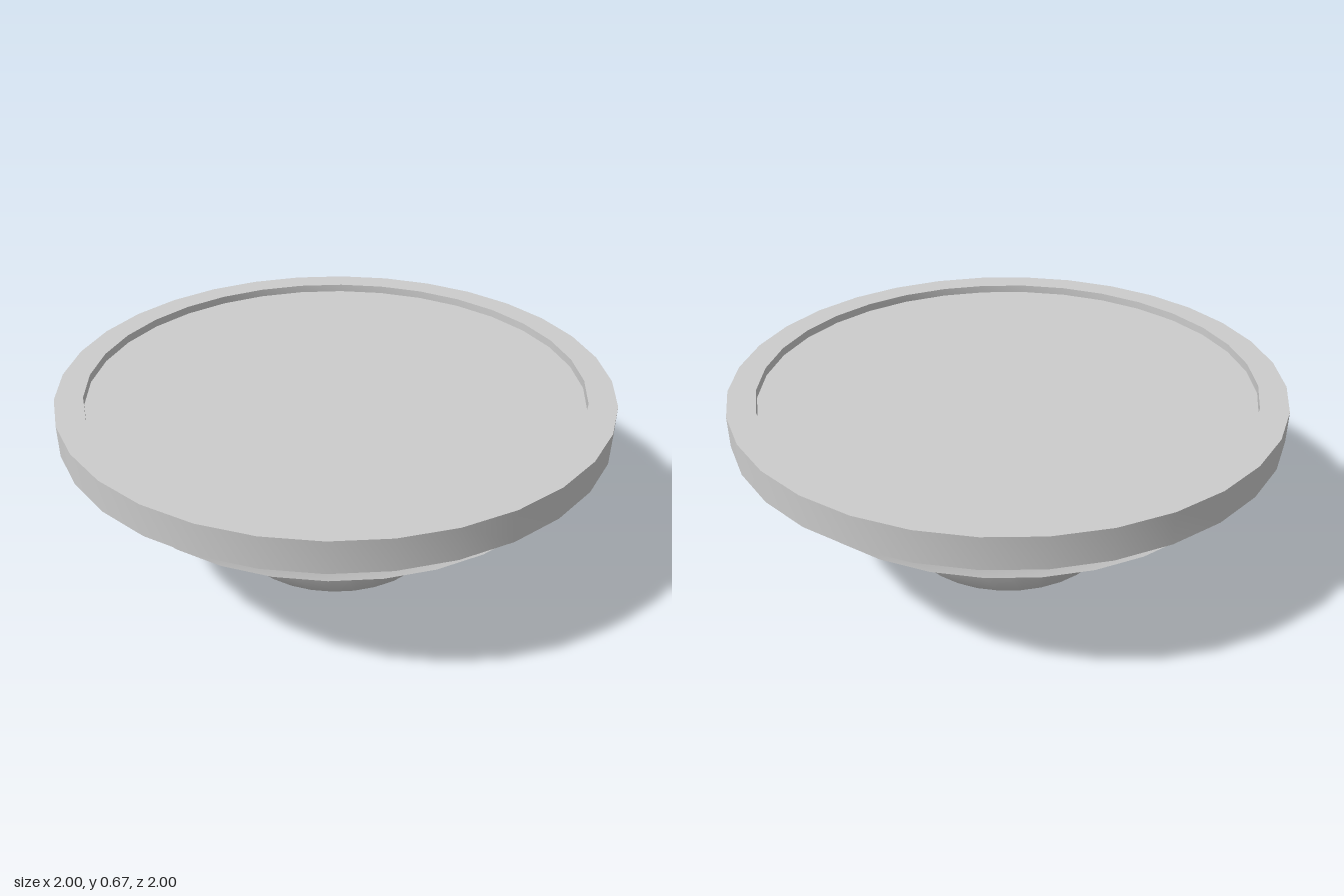
import * as THREE from 'three';
import { mergeVertices, toCreasedNormals } from 'three/addons/utils/BufferGeometryUtils.js';

const SIDES = 32;
const material = new THREE.MeshStandardMaterial({ color: 0xcccccc });

// Turns a [radius, height] profile, listed from bottom to top, around the y axis.
function turn(profile) {
  const geometry = new THREE.LatheGeometry(profile.map(([r, y]) => new THREE.Vector2(r, y)), SIDES);
  geometry.deleteAttribute('uv');
  geometry.deleteAttribute('normal');
  const merged = mergeVertices(geometry);
  merged.computeVertexNormals();
  return merged;
}

function disc(radius, y, facing) {
  return new THREE.CircleGeometry(radius, SIDES).rotateX(-facing * Math.PI / 2).translate(0, y, 0);
}

export function createModel() {
  const model = new THREE.Group();
  model.name = 'pedestalDish';
  const add = (name, geometry) => {
    const mesh = new THREE.Mesh(geometry, material);
    mesh.name = name;
    model.add(mesh);
  };

  // Foot, waist and flared collar, shaded as one smooth surface
  add('body', turn([[0.4, 0], [0.605, 0.29], [0.47, 0.355], [0.87, 0.425], [0.78, 0.495], [1, 0.555]]));
  // Flat underside of the foot
  add('footBase', disc(0.4, 0, -1));
  // Upright rim with a shallow inner step
  add('rim', toCreasedNormals(turn([[1, 0.555], [1, 0.67], [0.9, 0.67], [0.9, 0.64]]), Math.PI / 6));
  // Recessed flat top
  add('topPlate', disc(0.9, 0.64, 1));

  return model;
}
